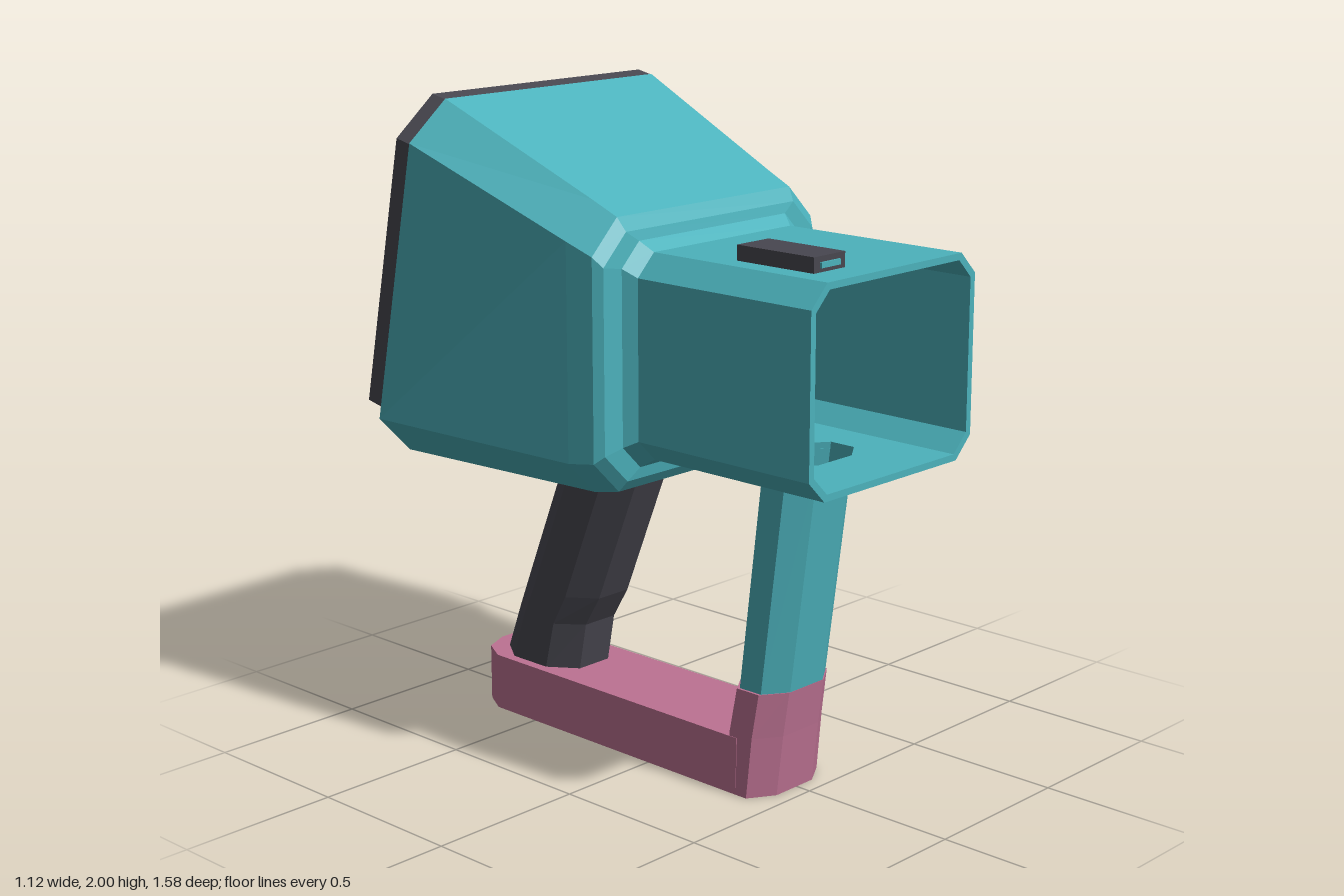
import * as THREE from 'three';

const teal = new THREE.MeshStandardMaterial({ color: 0x4cb2bc, side: THREE.DoubleSide });
teal.name = 'tealShell';
const dark = new THREE.MeshStandardMaterial({ color: 0x484750, side: THREE.DoubleSide });
dark.name = 'darkRubber';
const pink = new THREE.MeshStandardMaterial({ color: 0xbd7293, side: THREE.DoubleSide });
pink.name = 'pinkPlastic';

function add(parent, name, geometry, material) {
  const mesh = new THREE.Mesh(geometry, material);
  mesh.name = name;
  parent.add(mesh);
  return mesh;
}

// Flat-shaded skin over a list of rings; skip(i, k) leaves a facet out
function loft(rings, closed = false, skip = () => false) {
  const pos = [];
  const n = rings[0].length;
  const last = closed ? rings.length : rings.length - 1;
  for (let i = 0; i < last; i++) {
    const a = rings[i], b = rings[(i + 1) % rings.length];
    for (let k = 0; k < n; k++) {
      if (skip(i, k)) continue;
      const m = (k + 1) % n;
      for (const p of [a[k], a[m], b[m], a[k], b[m], b[k]]) pos.push(...p);
    }
  }
  const g = new THREE.BufferGeometry();
  g.setAttribute('position', new THREE.Float32BufferAttribute(pos, 3));
  g.computeVertexNormals();
  return g;
}

// Slanted plane of the rear opening
const rearZ = (y) => -0.745 + 0.205 * Math.max(0, y - 1);

// Chamfered rectangle in the xy plane; z is a number or a function of y
function frameRing(z, w, y0, y1, c) {
  const half = [[w - c, y0], [w, y0 + c], [w, y1 - c], [w - c, y1]];
  const all = half.concat(half.slice().reverse().map(([x, y]) => [-x, y]));
  return all.map(([x, y]) => [x, y, typeof z === 'function' ? z(y) : z]);
}

// Octagonal ring of a handle at height y, spanning z0..z1
function handleRing([y, z0, z1, hx]) {
  const c = (z0 + z1) / 2, hz = Math.abs(z1 - z0) / 2;
  const pts = [[0.5, 1], [1, 0.45], [1, -0.45], [0.5, -1], [-0.5, -1], [-1, -0.45], [-1, 0.45], [-0.5, 1]];
  return pts.map(([x, z]) => [x * hx, y, c + z * hz]);
}
const handle = (levels) => loft(levels.map(handleRing));

const polygon = (pts) => new THREE.Shape(pts.map(([x, y]) => new THREE.Vector2(x, y)));

// Level floor panel with a handle-shaped hole
function floorPanel(y, zFront, wFront, zRear, wRear, holeRing) {
  const s = polygon([[-wFront, -zFront], [wFront, -zFront], [wRear, -zRear], [-wRear, -zRear]]);
  s.holes.push(new THREE.Path(holeRing.map(([x, , z]) => new THREE.Vector2(x, -z))));
  return new THREE.ShapeGeometry(s).rotateX(-Math.PI / 2).translate(0, y, 0);
}

export function createModel() {
  const model = new THREE.Group();
  const body = new THREE.Group();
  body.name = 'viewer';
  body.position.x = -0.01;
  model.add(body);

  // Hollow shell: outside from eyepiece to hood, then inside back again
  const shell = [
    frameRing(0.79, 0.355, 1.01, 1.61, 0.065),
    frameRing(0.16, 0.355, 1.01, 1.61, 0.065),
    frameRing(0.122, 0.38, 0.985, 1.64, 0.07),
    frameRing(0.115, 0.445, 0.95, 1.67, 0.09),
    frameRing(0.09, 0.465, 0.917, 1.71, 0.1),
    frameRing(0, 0.477, 0.9, 1.75, 0.105),
    frameRing(rearZ, 0.55, 0.9, 1.99, 0.12),
    frameRing(rearZ, 0.49, 0.955, 1.94, 0.05),
    frameRing(0.06, 0.42, 0.955, 1.65, 0.09),
    frameRing(0.09, 0.335, 1.03, 1.59, 0.055),
    frameRing(0.79, 0.335, 1.03, 1.59, 0.055),
  ];
  const floors = [0, 5, 7, 9];
  add(body, 'shell', loft(shell, true, (i, k) => k === 7 && floors.includes(i)), teal);

  // Floors with the open tops of the handles
  const frontTop = [1.03, 0.395, 0.585, 0.148];
  const gripTop = [0.955, -0.07, -0.45, 0.15];
  for (const i of floors) {
    const a = shell[i][0], b = shell[i + 1][0];
    const hole = handleRing(a[2] + b[2] > 0 ? frontTop : gripTop);
    const [f, r] = a[2] > b[2] ? [a, b] : [b, a];
    add(body, 'floorPanel', floorPanel(a[1], f[2], f[0], r[2], r[0], hole), teal);
  }

  // Low bar inside the hood
  add(body, 'innerBar', new THREE.BoxGeometry(0.4, 0.06, 0.008).translate(0, 1.12, -0.672), teal);

  // Dark trim along the top and sides of the rear opening
  const arch = (w, top, c) => [[w, 1.06], [w, top - c], [w - c, top], [c - w, top], [-w, top - c], [-w, 1.06]];
  const trim = new THREE.ExtrudeGeometry(
    polygon(arch(0.55, 1.988, 0.12).concat(arch(0.515, 1.953, 0.105).reverse())),
    { depth: 0.055, bevelEnabled: false }).translate(0, 0, -0.055);
  const p = trim.attributes.position;
  for (let i = 0; i < p.count; i++) {
    const y = p.getY(i), z = p.getZ(i);
    p.setXYZ(i, p.getX(i), y - z * 0.21, rearZ(y) + z);
  }
  trim.computeVertexNormals();
  add(body, 'hoodTrim', trim, dark);

  // Switch on top of the eyepiece
  add(body, 'topSwitch', new THREE.BoxGeometry(0.13, 0.045, 0.275).translate(-0.16, 1.632, 0.55), dark);
  add(body, 'switchTab', new THREE.BoxGeometry(0.08, 0.016, 0.008).translate(-0.16, 1.63, 0.69), teal);

  // Side knob
  const knob = new THREE.CylinderGeometry(0.032, 0.043, 0.085, 5, 1, false, -Math.PI / 2)
    .rotateZ(-Math.PI / 2).toNonIndexed();
  knob.computeVertexNormals();
  add(body, 'sideKnob', knob.translate(0.528, 1.24, -0.44), pink);

  // Front strut and rear grip
  add(body, 'frontStrut', handle([[0.32, 0.31, 0.49, 0.145], frontTop]), teal);
  add(body, 'rearGrip', handle([
    [0.17, -0.39, -0.715, 0.125], [0.33, -0.36, -0.655, 0.125], [0.43, -0.3, -0.615, 0.125],
    [0.85, -0.13, -0.445, 0.125], [0.9, -0.075, -0.445, 0.145], gripTop,
  ]), dark);

  // Collar holding the strut
  add(body, 'strutCollar', handle([
    [0, 0.28, 0.45, 0], [0, 0.27, 0.45, 0.16], [0.19, 0.28, 0.472, 0.158],
    [0.33, 0.305, 0.492, 0.153], [0.33, 0.315, 0.48, 0.14],
  ]), pink);

  // Foot bar with rounded rear end
  const side = [[0.09, -0.44], [0.16, -0.36], [0.155, 0.67], [0.11, 0.75], [0.03, 0.785]];
  const plan = side.concat(side.slice().reverse().map(([x, y]) => [-x, y]));
  add(body, 'footBar', new THREE.ExtrudeGeometry(polygon(plan), { depth: 0.178, bevelEnabled: false })
    .rotateX(-Math.PI / 2), pink);

  return model;
}
